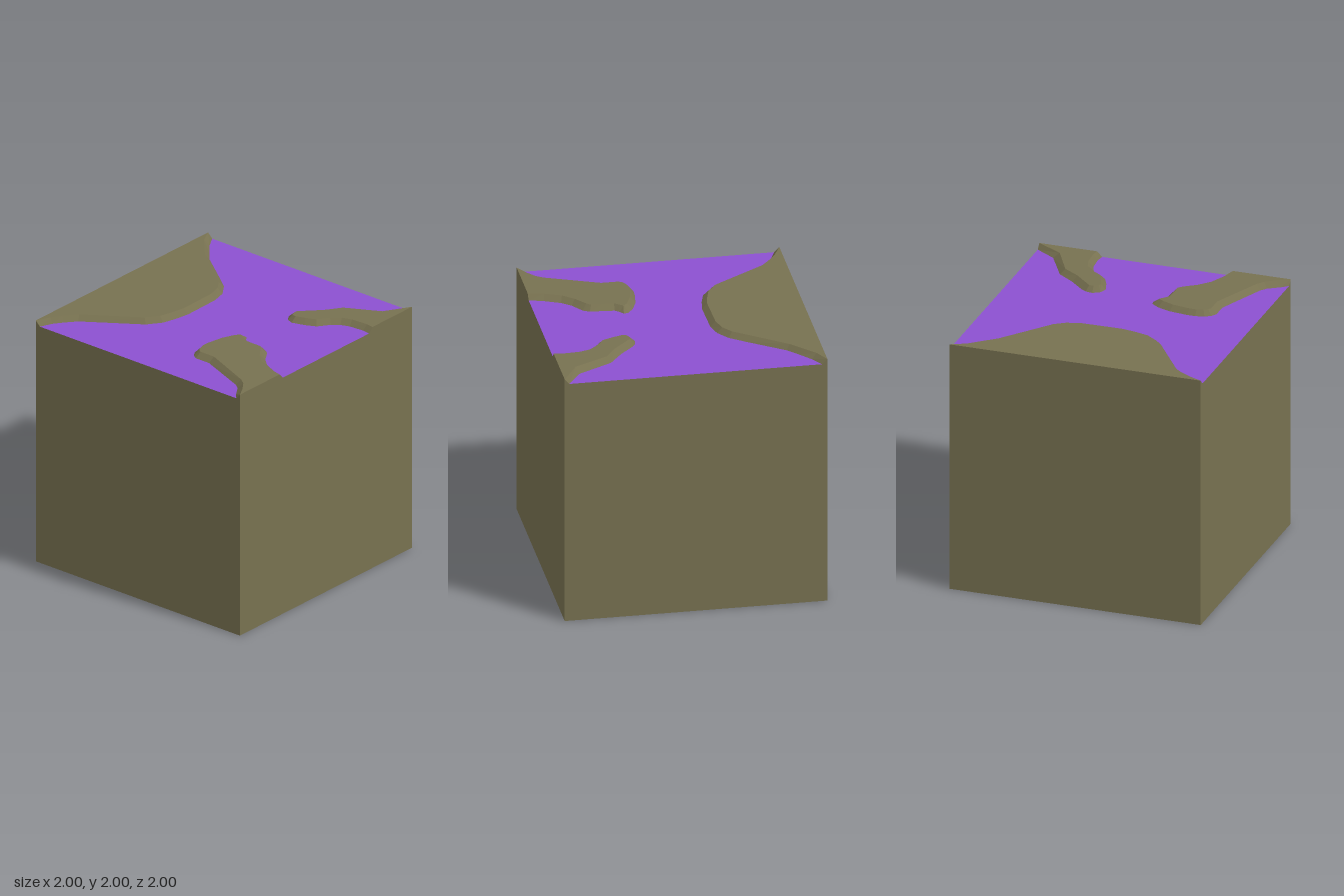
import * as THREE from 'three';

const FLOOR = 1.96, TOP = 2;

// Each bank outline: [foot x, foot z, rim x, rim z] in order around the island
const leftBank = [
  [-0.96, -1, -1, -1], [-0.9, -0.9, -0.94, -0.88], [-0.82, -0.8, -0.85, -0.78], [-0.74, -0.71, -0.77, -0.69],
  [-0.47, -0.51, -0.49, -0.475], [-0.355, -0.42, -0.385, -0.395], [-0.285, -0.32, -0.325, -0.31],
  [-0.255, -0.2, -0.295, -0.2], [-0.25, 0.12, -0.29, 0.12], [-0.27, 0.24, -0.31, 0.23], [-0.3, 0.35, -0.34, 0.34],
  [-0.38, 0.46, -0.41, 0.435], [-0.8, 0.745, -0.82, 0.71], [-0.87, 0.83, -0.9, 0.81], [-0.92, 0.9, -0.95, 0.89],
  [-0.96, 1, -1, 1], [-1, 1, -1, 1], [-1, -1, -1, -1],
];
const backBank = [
  [0.965, -1, 1, -1], [0.86, -0.84, 0.88, -0.795], [0.59, -0.69, 0.615, -0.655], [0.49, -0.555, 0.53, -0.53],
  [0.38, -0.44, 0.42, -0.415], [0.355, -0.4, 0.39, -0.385], [0.345, -0.345, 0.39, -0.35], [0.38, -0.29, 0.405, -0.315],
  [0.435, -0.27, 0.44, -0.31], [0.535, -0.3, 0.515, -0.335], [0.62, -0.34, 0.595, -0.37], [0.685, -0.43, 0.655, -0.455],
  [0.74, -0.475, 0.72, -0.515], [0.81, -0.5, 0.8, -0.54], [0.93, -0.51, 0.94, -0.55], [1, -0.5, 1, -0.54],
  [1, -1, 1, -1],
];
const frontBank = [
  [1, 0.5, 1, 0.54], [0.89, 0.465, 0.88, 0.51], [0.77, 0.41, 0.755, 0.455], [0.7, 0.35, 0.67, 0.38],
  [0.635, 0.25, 0.6, 0.285], [0.585, 0.22, 0.57, 0.255], [0.49, 0.215, 0.49, 0.255], [0.4, 0.205, 0.395, 0.25],
  [0.365, 0.175, 0.365, 0.225], [0.34, 0.14, 0.335, 0.2], [0.305, 0.15, 0.325, 0.2], [0.26, 0.21, 0.3, 0.235],
  [0.22, 0.315, 0.26, 0.33], [0.2, 0.46, 0.235, 0.47], [0.2, 0.525, 0.235, 0.525], [0.215, 0.595, 0.25, 0.575],
  [0.245, 0.64, 0.27, 0.605], [0.285, 0.665, 0.295, 0.62], [0.415, 0.665, 0.425, 0.62], [0.815, 0.825, 0.835, 0.79],
  [0.86, 0.86, 0.89, 0.83], [0.92, 0.95, 0.95, 0.91], [0.965, 1, 1, 1], [1, 1, 1, 1],
];

// Raised island: sloped wall from foot to rim, closed by a flat cap
function bankGeometry(outline) {
  const footFlat = outline.map(([x, z]) => new THREE.Vector2(x, -z));
  const pts = THREE.ShapeUtils.isClockWise(footFlat) ? [...outline].reverse() : outline;
  const foot = pts.map(([x, z]) => [x, FLOOR, z]);
  const rim = pts.map(([, , x, z]) => [x, TOP, z]);
  const verts = [];
  pts.forEach((_, i) => {
    const j = (i + 1) % pts.length;
    verts.push(...foot[i], ...foot[j], ...rim[j], ...foot[i], ...rim[j], ...rim[i]);
  });
  // Skip repeated rim corners before triangulating the cap
  const cap = rim.filter((p, i) => {
    const q = rim[(i + 1) % rim.length];
    return p[0] !== q[0] || p[2] !== q[2];
  });
  const capFlat = cap.map(([x, , z]) => new THREE.Vector2(x, -z));
  for (const face of THREE.ShapeUtils.triangulateShape(capFlat, [])) {
    for (const k of face) verts.push(...cap[k]);
  }
  const geo = new THREE.BufferGeometry();
  geo.setAttribute('position', new THREE.Float32BufferAttribute(verts, 3));
  geo.computeVertexNormals();
  return geo;
}

export function createModel() {
  const model = new THREE.Group();
  model.name = 'terrainBlock';
  const earth = new THREE.MeshStandardMaterial({ color: 0x777150 });
  earth.name = 'olive earth';
  const liquid = new THREE.MeshStandardMaterial({ color: 0x8c50d0 });
  liquid.name = 'purple liquid';

  // Block with a purple top face
  const block = new THREE.Mesh(
    new THREE.BoxGeometry(2, FLOOR, 2),
    [earth, earth, liquid, earth, earth, earth],
  );
  block.name = 'block';
  block.position.y = FLOOR / 2;
  model.add(block);

  // Raised banks
  for (const [name, outline] of Object.entries({ leftBank, backBank, frontBank })) {
    const bank = new THREE.Mesh(bankGeometry(outline), earth);
    bank.name = name;
    model.add(bank);
  }
  return model;
}
